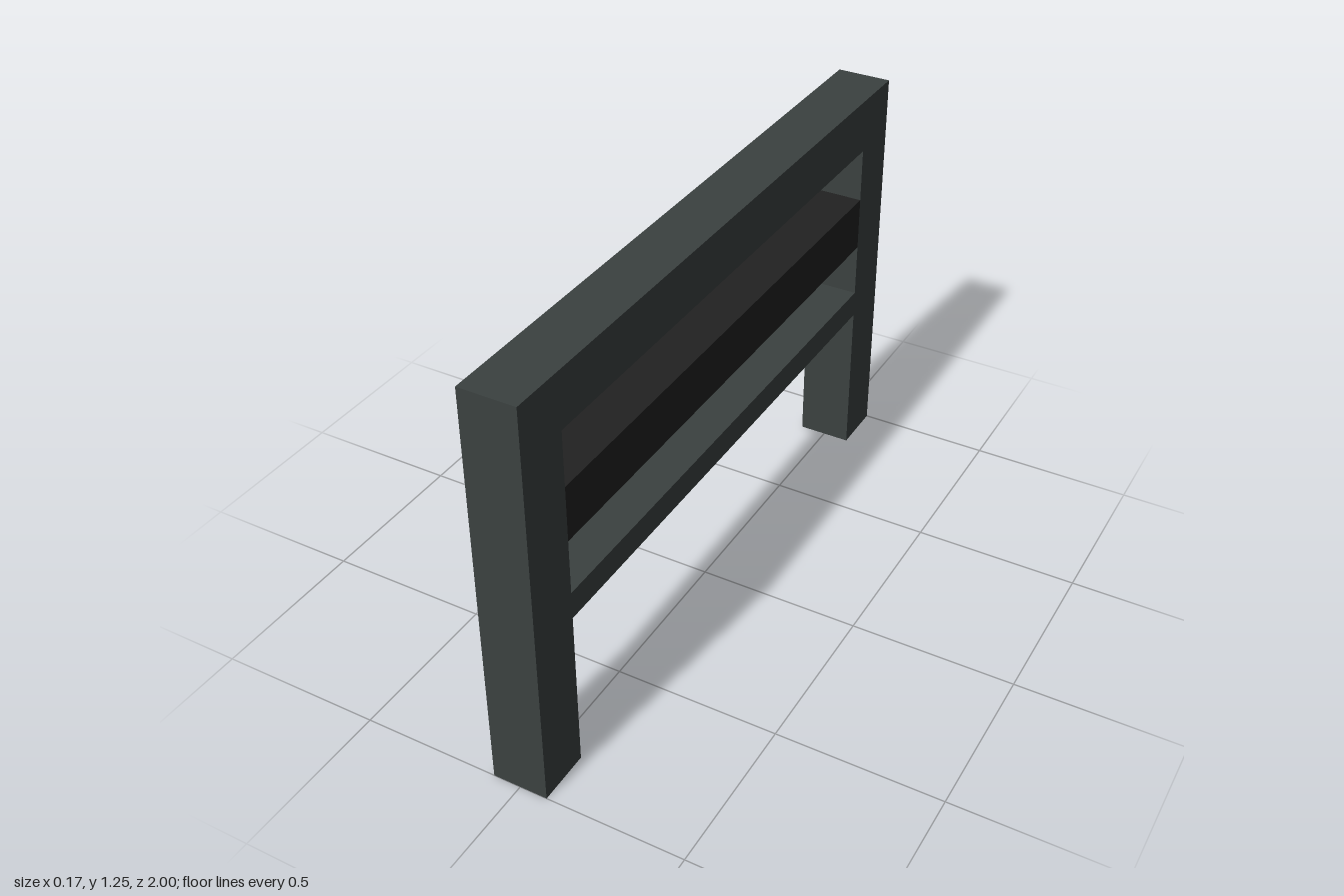
import * as THREE from 'three';

export function createModel() {
  const model = new THREE.Group();
  model.name = 'barrier';

  const slate = new THREE.MeshStandardMaterial({ color: 0x3b4140 });
  slate.name = 'slate grey';
  const black = new THREE.MeshStandardMaterial({ color: 0x222222 });
  black.name = 'soft black';

  const u = 1 / 12;            // modelling unit
  const thickness = 2 * u;
  const height = 15 * u;
  const half = 1;              // half length along z
  const inner = half - 2 * u;  // inner face of the posts

  // Two posts and the top rail as one arch
  const outline = new THREE.Shape([
    [-half, 0], [-inner, 0], [-inner, height - 2 * u], [inner, height - 2 * u],
    [inner, 0], [half, 0], [half, height], [-half, height],
  ].map(([z, y]) => new THREE.Vector2(z, y)));
  const archGeometry = new THREE.ExtrudeGeometry(outline, { depth: thickness, bevelEnabled: false });
  archGeometry.translate(0, 0, -thickness / 2).rotateY(-Math.PI / 2);
  const arch = new THREE.Mesh(archGeometry, slate);
  arch.name = 'postsAndTopRail';
  model.add(arch);

  // Horizontal rails between the posts
  const addRail = (name, bottom, top, material) => {
    const rail = new THREE.Mesh(new THREE.BoxGeometry(thickness, top - bottom, inner * 2), material);
    rail.name = name;
    rail.position.y = (bottom + top) / 2;
    model.add(rail);
  };
  addRail('middleRail', 9 * u, 11 * u, black);
  addRail('lowerRail', 6 * u, 7 * u, slate);

  return model;
}
